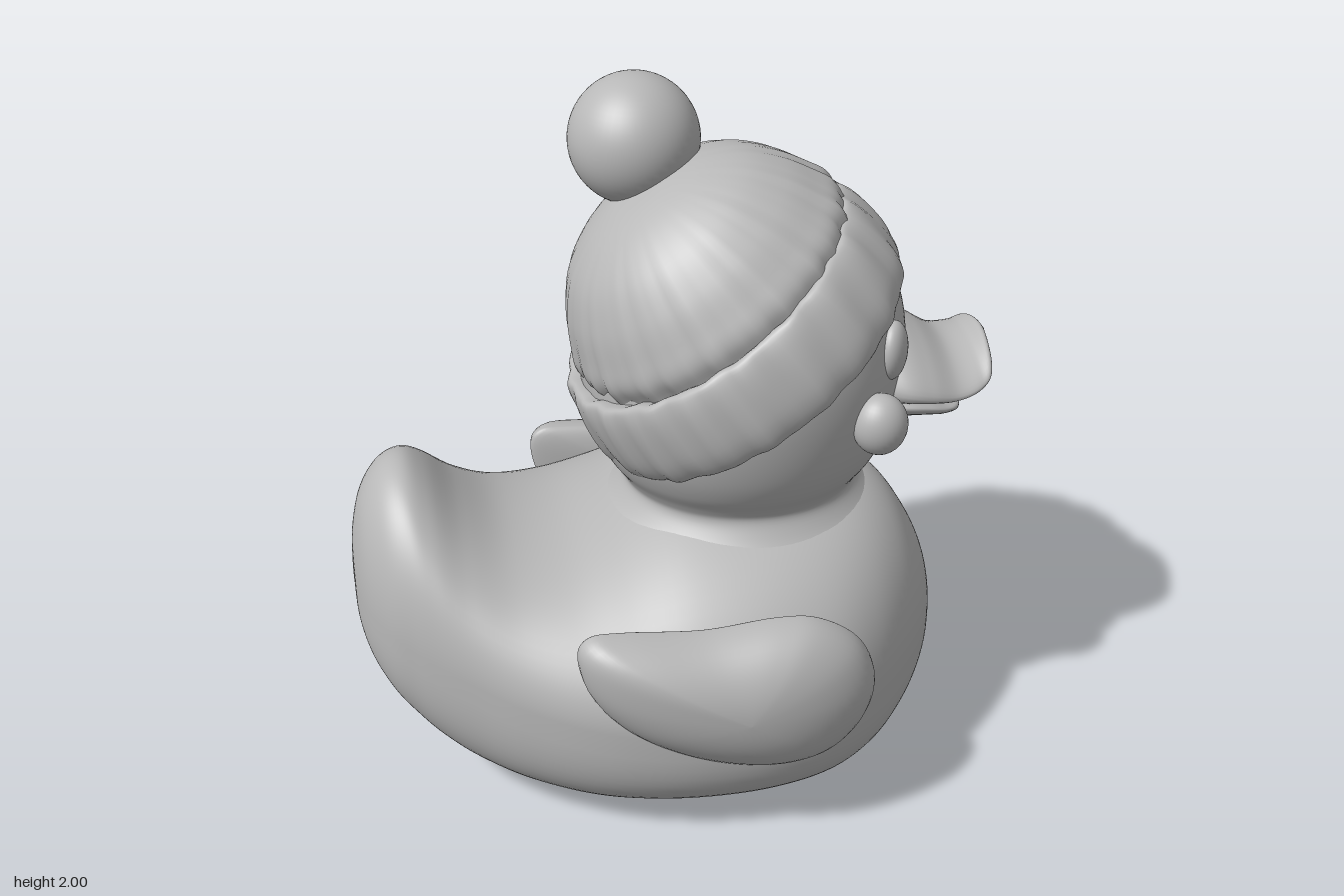
import * as THREE from 'three';

const grey = new THREE.MeshStandardMaterial({ color: 0xb8b8b8 });
grey.name = 'plain grey';

// Skin a list of closed rings (arrays of [x, y, z]) into one smooth surface.
function loft(rings) {
  const n = rings[0].length, index = [];
  for (let i = 0; i < rings.length - 1; i++) {
    for (let j = 0; j < n; j++) {
      const k = (j + 1) % n;
      const a = i * n + j, b = i * n + k, d = a + n, c = b + n;
      index.push(a, d, b, b, d, c);
    }
  }
  const geo = new THREE.BufferGeometry();
  geo.setAttribute('position', new THREE.Float32BufferAttribute(rings.flat(2), 3));
  geo.setIndex(index);
  geo.computeVertexNormals();
  return geo;
}

// Smoothly resample a short table of three-value rows.
function smooth(rows, steps) {
  const curve = new THREE.CatmullRomCurve3(rows.map(r => new THREE.Vector3(...r)), false, 'catmullrom', 0.5);
  return curve.getPoints(steps).map(p => p.toArray());
}

const angles = n => Array.from({ length: n }, (_, j) => (j / n) * Math.PI * 2);

// Surface of revolution around y from [radius, height] rows, with an optional ripple rule.
function turned(rows, steps, ripple = () => 0) {
  const pts = smooth(rows.map(([r, y]) => [r, y, 0]), steps);
  return loft(pts.map(([r, y], i) => angles(120).map(a => {
    const q = Math.max(0, r) + ripple(a, i / steps);
    return [q * Math.cos(a), y, q * Math.sin(a)];
  })));
}

// Bill half: rows of [x, centre height, half thickness, half width].
function bill(rows, droop) {
  const heights = smooth(rows.map(r => [r[0], r[1], r[2]]), 40);
  const widths = smooth(rows.map(r => [r[0], r[3], 0]), 40);
  return loft(heights.map(([x, y, t], i) => angles(48).map(a => {
    const s = Math.sin(a), w = Math.max(0, widths[i][1]);
    return [x, y + t * Math.cos(a) - droop * s * s * (w / 0.25), -w * s];
  })));
}

function bodyGeometry() {
  // x, top, bottom, height of the widest point, half width
  const rows = [
    [-0.912, 0.63, 0.59, 0.61, 0], [-0.905, 0.74, 0.48, 0.6, 0.1], [-0.875, 0.86, 0.38, 0.59, 0.2],
    [-0.82, 0.94, 0.285, 0.57, 0.285], [-0.755, 0.965, 0.21, 0.54, 0.34], [-0.69, 0.93, 0.15, 0.51, 0.385],
    [-0.6, 0.845, 0.09, 0.48, 0.44], [-0.48, 0.775, 0.045, 0.44, 0.51], [-0.33, 0.755, 0.015, 0.41, 0.58],
    [-0.18, 0.785, 0.003, 0.39, 0.625], [0, 0.85, 0, 0.38, 0.65], [0.2, 0.87, 0.003, 0.38, 0.645],
    [0.38, 0.865, 0.012, 0.38, 0.595], [0.52, 0.835, 0.04, 0.38, 0.5], [0.63, 0.765, 0.1, 0.38, 0.38],
    [0.71, 0.65, 0.18, 0.38, 0.26], [0.76, 0.53, 0.265, 0.38, 0.14], [0.78, 0.4, 0.37, 0.385, 0]
  ];
  const heights = smooth(rows.map(r => [r[0], r[1], r[2]]), 100);
  const sides = smooth(rows.map(r => [r[0], r[3], r[4]]), 100);
  return loft(heights.map(([x, top, bottom], i) => {
    const mid = sides[i][1], w = Math.max(0, sides[i][2]);
    return angles(80).map(a => {
      const c = Math.cos(a), s = Math.sin(a);
      // rounded above, squarer towards the flat base
      const e = c < 0 ? 2 / 3 : 1;
      const up = Math.sign(c) * Math.abs(c) ** e, out = Math.sign(s) * Math.abs(s) ** e;
      return [x, mid + up * (c > 0 ? top - mid : mid - bottom), -w * out];
    });
  }));
}

function wingGeometry(side) {
  const outline = [
    [-0.34, 0.64], [-0.31, 0.695], [-0.22, 0.7], [0, 0.683], [0.2, 0.7], [0.32, 0.685], [0.43, 0.61],
    [0.48, 0.49], [0.455, 0.37], [0.37, 0.275], [0.24, 0.24], [0.08, 0.258], [-0.08, 0.315], [-0.22, 0.405], [-0.31, 0.52]
  ];
  const curve = new THREE.CatmullRomCurve3(outline.map(([x, y]) => new THREE.Vector3(x, y, 0)), true, 'catmullrom', 0.5);
  const edge = curve.getPoints(90).slice(0, -1);
  if (side < 0) edge.reverse();
  const rings = [];
  for (let i = 0; i <= 28; i++) {
    const t = -Math.PI / 2 + (i / 28) * Math.PI;
    const s = Math.cos(t), bulge = Math.sin(t);
    const z = 0.56 + bulge * (bulge > 0 ? 0.175 : 0.05);
    rings.push(edge.map(p => [0.1 + (p.x - 0.1) * s, 0.48 + (p.y - 0.48) * s, side * z]));
  }
  return loft(rings);
}

export function createModel() {
  const group = new THREE.Group();
  const add = (name, geo, x = 0, y = 0, z = 0, parent = group) => {
    const mesh = new THREE.Mesh(geo, grey);
    mesh.name = name;
    mesh.position.set(x, y, z);
    parent.add(mesh);
    return mesh;
  };

  // Body with upturned tail
  add('body', bodyGeometry());

  // Neck and head
  add('head', turned([
    [0.41, 0.76], [0.365, 0.805], [0.338, 0.85], [0.35, 0.885], [0.388, 0.94], [0.42, 1.01], [0.443, 1.1],
    [0.455, 1.2], [0.452, 1.3], [0.43, 1.41], [0.37, 1.52], [0.25, 1.63], [0.12, 1.675], [0, 1.68]
  ], 70), 0.21).scale.z = 0.93;

  // Open bill
  add('upperBill', bill([
    [0.52, 1.21, 0.1, 0.2], [0.62, 1.215, 0.09, 0.25], [0.7, 1.2, 0.07, 0.25], [0.78, 1.178, 0.045, 0.225],
    [0.85, 1.187, 0.037, 0.2], [0.89, 1.212, 0.036, 0.155], [0.91, 1.222, 0.008, 0]
  ], 0.05));
  add('lowerBill', bill([
    [0.52, 1.08, 0.05, 0.2], [0.62, 1.075, 0.045, 0.24], [0.7, 1.06, 0.036, 0.225], [0.76, 1.043, 0.028, 0.19],
    [0.81, 1.036, 0.025, 0.13], [0.83, 1.038, 0.008, 0]
  ], -0.05));

  // Paired parts
  for (const [label, side] of [['left', -1], ['right', 1]]) {
    add(label + 'Wing', wingGeometry(side));
    add(label + 'Cheek', new THREE.SphereGeometry(1, 32, 20), 0.52, 1.145, side * 0.34).scale.set(0.077, 0.088, 0.07);
    const eye = add(label + 'Eye', new THREE.SphereGeometry(1, 32, 20), 0.575, 1.31, side * 0.235);
    eye.scale.set(0.04, 0.085, 0.065);
    eye.rotation.y = -side * 0.5;
  }

  // Tilted knitted hat
  const hat = new THREE.Group();
  hat.name = 'hat';
  hat.position.set(0.17, 1.32, 0);
  hat.rotation.z = 0.615;
  group.add(hat);
  add('hatBrim', turned([
    [0.41, -0.1], [0.45, -0.133], [0.482, -0.122], [0.496, -0.06], [0.488, 0.03], [0.47, 0.1], [0.445, 0.127], [0.4, 0.1]
  ], 36, (a, t) => 0.004 * Math.sin(19 * a + 5 * t) + 0.003 * Math.sin(31 * a - 4 * t)), 0, 0, 0, hat);
  add('hatCrown', turned([
    [0.425, -0.02], [0.43, 0.04], [0.405, 0.1], [0.36, 0.18], [0.29, 0.26], [0.2, 0.315], [0.1, 0.345], [0, 0.352]
  ], 40, (a, t) => 0.005 * (1 - t) ** 2 * (Math.sin(23 * a) + Math.sin(37 * a + 1))), 0.025, 0.122, 0, hat);

  // Pompom
  add('pompom', new THREE.SphereGeometry(0.18, 48, 32), -0.07, 1.82, -0.13);

  return group;
}
